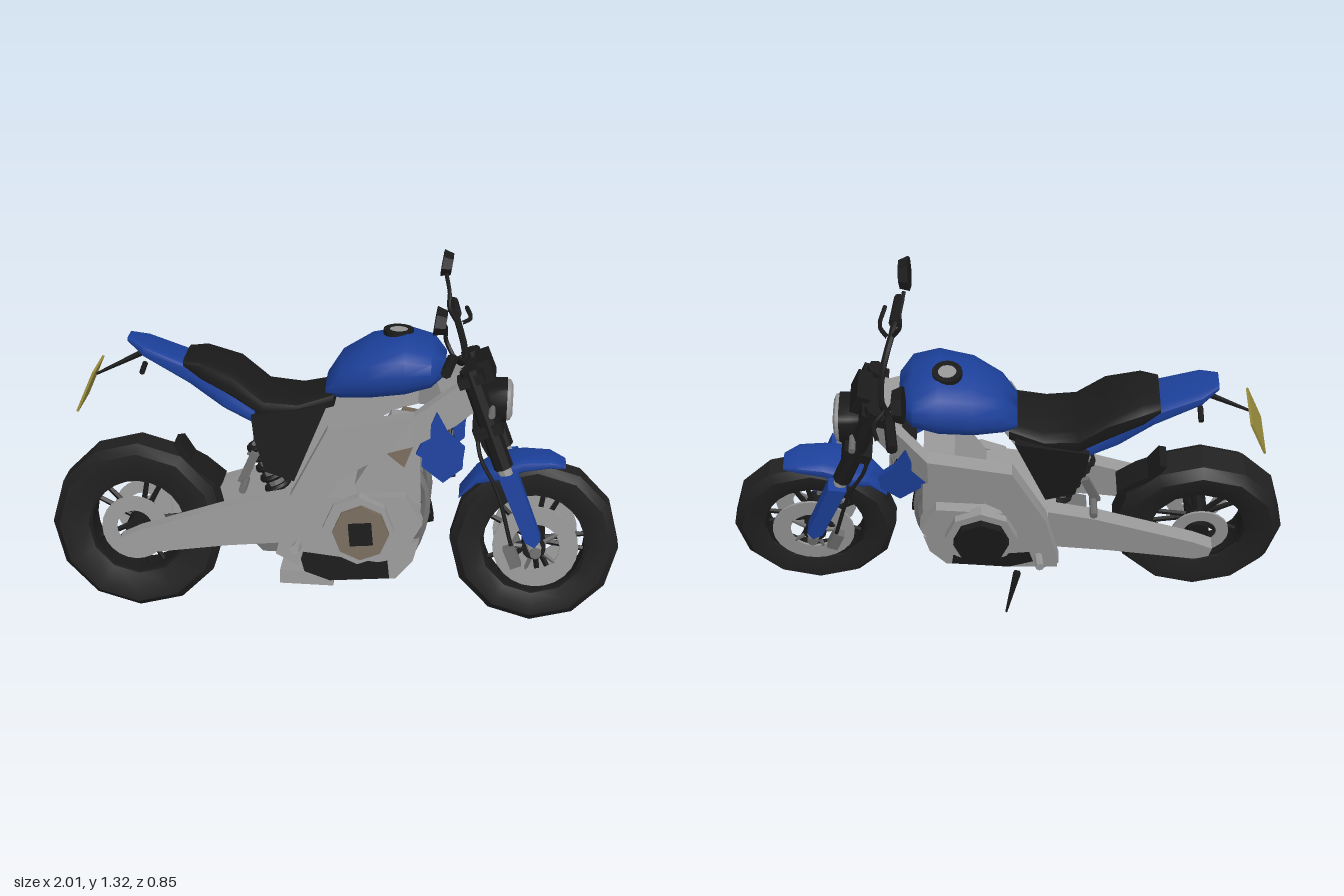
import * as THREE from 'three';
import { toCreasedNormals } from 'three/addons/utils/BufferGeometryUtils.js';

const mat = (name, color) => Object.assign(new THREE.MeshStandardMaterial({ color }), { name });
const V = (p) => new THREE.Vector3(...p);
const LEAN = 0.197;

export function createModel() {
  const black = mat('black', 0x1a1a1a), tyreBlack = mat('tyre rubber', 0x202020);
  const blue = mat('blue paint', 0x1c409a), grey = mat('silver grey', 0x979797);
  const steel = mat('dark steel', 0x6c6c6c), brown = mat('bronze', 0x75695a);
  const olive = mat('plate yellow', 0x998c3c);

  const model = new THREE.Group();
  model.name = 'motorcycle';
  const bike = new THREE.Group();
  bike.name = 'leaningBike';
  bike.rotation.x = -LEAN;
  bike.position.z = 0.21;
  bike.scale.y = 1.02;
  model.add(bike);

  const add = (name, geo, material, pos = [0, 0, 0], rotZ = 0, crease = 0.5) => {
    const mesh = new THREE.Mesh(toCreasedNormals(geo, crease), material);
    mesh.name = name;
    mesh.position.set(...pos);
    mesh.rotation.z = rotZ;
    bike.add(mesh);
    return mesh;
  };
  const pair = (fn) => [1, -1].forEach(fn);
  const box = (name, size, material, pos, rotZ) => add(name, new THREE.BoxGeometry(...size), material, pos, rotZ);

  // Side outline extruded across the bike; lowered to allow for the lean
  const plate = (name, pts, z, thick, material, rule) => {
    const drop = LEAN * (Math.abs(z) + thick / 2);
    const shape = new THREE.Shape(pts.map(([x, y]) => new THREE.Vector2(x, y - drop)));
    const geo = new THREE.ExtrudeGeometry(shape, { depth: thick, bevelEnabled: false });
    geo.translate(0, 0, z - thick / 2);
    if (rule) {
      const p = geo.attributes.position;
      for (let i = 0; i < p.count; i++) p.setZ(i, rule(p.getX(i), p.getZ(i)));
    }
    return add(name, geo, material);
  };
  const rod = (name, a, b, r, material, r2 = r, sides = 8) => {
    const A = V(a), B = V(b), d = B.clone().sub(A);
    const geo = new THREE.CylinderGeometry(r2, r, d.length(), sides);
    geo.applyQuaternion(new THREE.Quaternion().setFromUnitVectors(V([0, 1, 0]), d.clone().normalize()));
    return add(name, geo, material, A.add(B).multiplyScalar(0.5).toArray());
  };
  const tube = (name, pts, r, material) =>
    add(name, new THREE.TubeGeometry(new THREE.CatmullRomCurve3(pts.map(V)), 14, r, 6), material);
  const disc = (name, pts, seg, material, pos) => {
    const geo = new THREE.LatheGeometry(pts.map(([r, h]) => new THREE.Vector2(r, h)), seg);
    return add(name, geo.rotateX(Math.PI / 2), material, pos);
  };
  const ring = (name, ri, ro, h, seg, material, pos) =>
    disc(name, [[ri, -h], [ro, -h], [ro, h], [ri, h], [ri, -h]], seg, material, pos);
  const drum = (name, r, h, seg, material, pos) =>
    add(name, new THREE.CylinderGeometry(r, r, h, seg).rotateX(Math.PI / 2), material, pos);

  // Body skinned over sections [x, bottom, top, half width]
  const loft = (name, secs, material, power = 0.7, n = 16) => {
    const pos = [], idx = [];
    const bend = (v) => Math.sign(v) * Math.abs(v) ** power;
    secs.forEach(([x, lo, hi, w]) => {
      for (let j = 0; j < n; j++) {
        const a = (j / n) * Math.PI * 2;
        pos.push(x, (lo + hi) / 2 + bend(Math.cos(a)) * (hi - lo) / 2, bend(Math.sin(a)) * w);
      }
    });
    const last = (secs.length - 1) * n;
    for (let j = 0; j < n; j++) {
      const k = (j + 1) % n;
      for (let o = 0; o < last; o += n) idx.push(o + j, o + k, o + n + j, o + k, o + n + k, o + n + j);
      if (j > 0 && k > 0) idx.push(0, k, j, last, last + j, last + k);
    }
    const geo = new THREE.BufferGeometry();
    geo.setAttribute('position', new THREE.Float32BufferAttribute(pos, 3));
    geo.setIndex(idx);
    return add(name, geo, material, [0, 0, 0], 0, 0.75);
  };

  // Wheels
  const wheel = (label, x, y, R, w, ri) => {
    disc(label + 'Tyre', [[ri, -w * 0.75], [R * 0.78, -w], [R * 0.91, -w], [R, -w * 0.6],
      [R, w * 0.6], [R * 0.91, w], [R * 0.78, w], [ri, w * 0.75], [ri, -w * 0.75]], 12, tyreBlack, [x, y, 0]);
    ring(label + 'Rim', ri - 0.012, ri + 0.005, w * 0.6, 24, black, [x, y, 0]);
    drum(label + 'Hub', 0.042, 0.17, 12, black, [x, y, 0]);
    for (let i = 0; i < 10; i++) {
      const a = (Math.floor(i / 2) / 5) * Math.PI * 2 + (i % 2 ? 0.16 : -0.16);
      const c = Math.cos(a), s = Math.sin(a);
      rod(label + 'Spoke', [x + c * 0.03, y + s * 0.03, 0], [x + c * (ri - 0.01), y + s * (ri - 0.01), 0], 0.011, black, 0.009, 5);
    }
  };
  wheel('rear', -0.693, 0.311, 0.309, 0.087, 0.18);
  wheel('front', 0.71, 0.317, 0.296, 0.063, 0.19);
  pair((s) => {
    ring('frontBrakeDisc', 0.085, 0.15, 0.004, 24, grey, [0.715, 0.317, s * 0.07]);
    for (let i = 0; i < 5; i++) {
      const a = i * Math.PI * 0.4 + 0.6, c = Math.cos(a), d = Math.sin(a);
      rod('discArm', [0.715 + c * 0.03, 0.317 + d * 0.03, s * 0.07], [0.715 + c * 0.09, 0.317 + d * 0.09, s * 0.07], 0.009, steel, 0.007, 5);
    }
    box('frontCaliper', [0.04, 0.08, 0.04], steel, [0.635, 0.285, s * 0.085], 0.4);
  });
  ring('rearBrakeDisc', 0.065, 0.118, 0.004, 24, grey, [-0.7, 0.317, 0.085]);
  ring('rearSprocket', 0.06, 0.105, 0.004, 20, grey, [-0.7, 0.317, -0.085]);

  // Swingarm, main frame and side shrouds
  pair((s) => {
    plate('swingarm', [[-0.74, 0.34], [-0.67, 0.375], [-0.31, 0.5], [-0.14, 0.54], [-0.14, 0.36],
      [-0.36, 0.335], [-0.68, 0.285], [-0.73, 0.3]], s * 0.135, 0.055, grey);
    plate('frameBeam', [[0.28, 0.88], [-0.01, 0.82], [-0.13, 0.58], [-0.18, 0.36], [-0.1, 0.32],
      [-0.05, 0.5], [0.03, 0.64], [0.2, 0.75], [0.28, 0.775]], s * 0.203, 0.055, grey);
    plate('frameNose', [[0.28, 0.88], [0.28, 0.775], [0.42, 0.81], [0.49, 0.85], [0.47, 0.97], [0.36, 0.92]], s * 0.203, 0.055, grey,
      (x, z) => z - s * (x - 0.28) * 0.85);
    plate('sideShroud', [[0.29, 0.72], [0.355, 0.87], [0.395, 0.8], [0.455, 0.75], [0.45, 0.7], [0.33, 0.7]], s * 0.172, 0.02, blue);
    plate('lowerShroud', [[0.31, 0.71], [0.45, 0.71], [0.45, 0.66], [0.385, 0.605], [0.31, 0.66]], s * 0.14, 0.03, blue);
    plate('seatSidePanel', [[-0.28, 0.8], [-0.02, 0.85], [-0.13, 0.57], [-0.23, 0.6], [-0.27, 0.72]], s * 0.11, 0.05, black);
    box('pegBracket', [0.03, 0.12, 0.015], steel, [-0.29, 0.58, s * 0.12], -0.4);
    rod('passengerPeg', [-0.3, 0.53, s * 0.1], [-0.3, 0.53, s * 0.2], 0.014, steel);
    rod('riderPeg', [-0.1, 0.345, s * 0.17], [-0.11, 0.36, s * 0.29], 0.016, grey);
  });
  box('steeringHead', [0.1, 0.16, 0.14], grey, [0.42, 0.86, 0], 0.37);
  // Rear shock with spring coils
  rod('rearShock', [-0.27, 0.63, 0], [-0.17, 0.4, 0], 0.028, steel);
  for (let i = 0; i < 6; i++) {
    add('springCoil', new THREE.TorusGeometry(0.04, 0.011, 6, 12).rotateX(Math.PI / 2), black,
      [-0.265 + i * 0.016, 0.62 - i * 0.037, 0], 0.41);
  }
  plate('rearHugger', [[-0.565, 0.63], [-0.54, 0.635], [-0.5, 0.575], [-0.46, 0.555], [-0.39, 0.5], [-0.4, 0.48], [-0.47, 0.53], [-0.53, 0.57]], 0, 0.1, black);

  // Engine
  plate('crankcase', [[-0.15, 0.33], [-0.17, 0.5], [0, 0.53], [0.26, 0.55], [0.32, 0.45], [0.25, 0.32], [0.17, 0.3]], 0, 0.32, grey);
  plate('cylinder', [[0.1, 0.5], [0.08, 0.56], [0.19, 0.75], [0.3, 0.74], [0.31, 0.5]], 0, 0.24, grey);
  plate('lowerGearcase', [[-0.29, 0.33], [-0.12, 0.38], [0, 0.34], [-0.06, 0.28], [-0.24, 0.28]], 0, 0.2, steel);
  plate('sump', [[-0.11, 0.3], [0.2, 0.3], [0.21, 0.22], [0, 0.2], [-0.09, 0.23]], 0, 0.26, black);
  box('silencer', [0.19, 0.05, 0.2], grey, [-0.085, 0.165, 0]);
  plate('lowerEngineCover', [[0.2, 0.32], [0.31, 0.37], [0.29, 0.29], [0.23, 0.22], [0.19, 0.22]], 0, 0.26, grey);
  rod('oilFilter', [0.26, 0.39, 0], [0.345, 0.41, 0], 0.05, black, 0.045, 10);
  drum('clutchHousing', 0.125, 0.04, 8, grey, [0.1, 0.395, 0.168]);
  drum('clutchCover', 0.098, 0.04, 8, brown, [0.11, 0.393, 0.188]);
  box('clutchCap', [0.08, 0.08, 0.012], black, [0.11, 0.393, 0.211], 0.1);
  drum('alternatorHousing', 0.13, 0.04, 8, grey, [0.1, 0.395, -0.168]);
  drum('alternatorCover', 0.1, 0.05, 8, black, [0.1, 0.395, -0.19]);
  pair((s) => {
    plate('camCover', [[0.185, 0.69], [0.23, 0.76], [0.29, 0.75], [0.25, 0.64]], s * 0.126, 0.015, brown);
    tube('exhaustPipe', [[0.28, 0.6, s * 0.08], [0.325, 0.5, s * 0.08], [0.31, 0.36, s * 0.09], [0.23, 0.22, s * 0.07], [0, 0.18, s * 0.05]], 0.018, steel);
  });
  rod('sideStand', [-0.03, 0.25, -0.22], [0.01, 0.085, -0.27], 0.015, black, 0.004, 5);

  // Radiator with fins
  box('radiator', [0.06, 0.18, 0.24], black, [0.375, 0.665, 0], 0.25);
  for (let i = 0; i < 5; i++) box('radiatorFin', [0.012, 0.008, 0.18], steel, [0.42 - i * 0.008, 0.61 + i * 0.028, 0], 0.25);

  // Tank, seat and tail
  loft('fuelTank', [[-0.03, 0.83, 0.89, 0.08], [0.02, 0.82, 0.97, 0.12], [0.12, 0.83, 1.03, 0.16],
    [0.24, 0.85, 1.055, 0.175], [0.33, 0.88, 1.03, 0.155], [0.375, 0.92, 0.98, 0.09]], blue, 0.85);
  ring('fillerRing', 0.032, 0.052, 0.01, 16, black, [0.21, 1.047, -0.015]).rotation.x = Math.PI / 2;
  drum('fillerCap', 0.034, 0.016, 12, grey, [0.21, 1.047, -0.015]).rotation.x = Math.PI / 2;
  loft('seat', [[-0.52, 0.92, 0.945, 0.09], [-0.46, 0.88, 0.95, 0.115], [-0.34, 0.82, 0.915, 0.13], [-0.24, 0.76, 0.835, 0.13],
    [-0.12, 0.77, 0.825, 0.125], [0, 0.8, 0.86, 0.1]], black, 0.5);
  loft('tail', [[-0.72, 0.985, 1, 0.04], [-0.66, 0.94, 0.985, 0.075], [-0.5, 0.855, 0.93, 0.09],
    [-0.38, 0.78, 0.87, 0.115], [-0.27, 0.73, 0.79, 0.12]], blue, 0.5);

  // Number plate, its arm and rear indicators
  rod('plateArm', [-0.66, 0.945, 0], [-0.84, 0.85, 0], 0.012, black, 0.005, 5);
  box('numberPlate', [0.008, 0.155, 0.18], olive, [-0.865, 0.81, -0.01], -0.4);
  pair((s) => rod('rearIndicator', [-0.66, 0.91, s * 0.04], [-0.66, 0.9, s * 0.1], 0.01, black));

  // Fork and front fender
  pair((s) => {
    rod('upperFork', [0.455, 0.965, s * 0.1], [0.59, 0.62, s * 0.1], 0.034, black);
    rod('lowerFork', [0.58, 0.64, s * 0.1], [0.715, 0.317, s * 0.1], 0.024, grey);
    plate('forkCover', [[0.575, 0.62], [0.64, 0.63], [0.73, 0.4], [0.71, 0.37], [0.675, 0.39]], s * 0.11, 0.06, blue);
    rod('frontIndicator', [0.54, 0.83, s * 0.1], [0.54, 0.83, s * 0.17], 0.012, steel);
    tube('brakeHose', [[0.49, 0.74, s * 0.06], [0.51, 0.64, s * 0.08], [0.57, 0.53, s * 0.09], [0.63, 0.33, s * 0.1]], 0.007, black);
  });
  rod('frontAxle', [0.715, 0.317, -0.13], [0.715, 0.317, 0.13], 0.02, steel);
  box('upperYoke', [0.09, 0.035, 0.26], black, [0.465, 0.93, 0], 0.37);
  box('lowerYoke', [0.1, 0.04, 0.26], black, [0.53, 0.755, 0], 0.37);
  loft('frontFender', [[0.44, 0.47, 0.49, 0.05], [0.5, 0.53, 0.57, 0.065], [0.57, 0.55, 0.615, 0.09], [0.66, 0.585, 0.635, 0.075],
    [0.75, 0.6, 0.635, 0.065], [0.805, 0.595, 0.612, 0.04]], blue, 0.6);

  // Headlight and instruments
  loft('headlightShell', [[0.5, 0.79, 0.87, 0.06], [0.55, 0.765, 0.89, 0.08], [0.59, 0.765, 0.89, 0.08]], black, 0.45);
  loft('headlightLens', [[0.585, 0.766, 0.888, 0.078], [0.602, 0.77, 0.884, 0.074], [0.61, 0.785, 0.87, 0.058]], grey, 0.45);
  box('instruments', [0.05, 0.08, 0.135], black, [0.51, 0.945, 0], 0.4);

  // Handlebar, grips, levers and mirrors
  tube('handlebar', [[0.39, 1.05, 0.34], [0.4, 1.045, 0.22], [0.43, 0.99, 0.11], [0.44, 0.975, 0],
    [0.43, 0.99, -0.11], [0.4, 1.045, -0.22], [0.39, 1.05, -0.34]], 0.012, black);
  pair((s) => {
    rod('grip', [0.4, 1.045, s * 0.235], [0.385, 1.045, s * 0.37], 0.019, black);
    tube('lever', [[0.42, 1.03, s * 0.18], [0.45, 1.03, s * 0.24], [0.435, 1.04, s * 0.33]], 0.008, black);
    tube('mirrorStem', [[0.4, 1.04, s * 0.18], [0.375, 1.09, s * 0.17], [0.375, 1.13, s * 0.19], [0.36, 1.18, s * 0.25]], 0.008, black);
    const head = new THREE.CylinderGeometry(0.08, 0.065, 0.035, 7).rotateZ(Math.PI / 2).scale(1, 0.55, 1);
    add('mirror', head, black, [0.36, 1.2, s * 0.32], -0.15);
  });
  return model;
}
